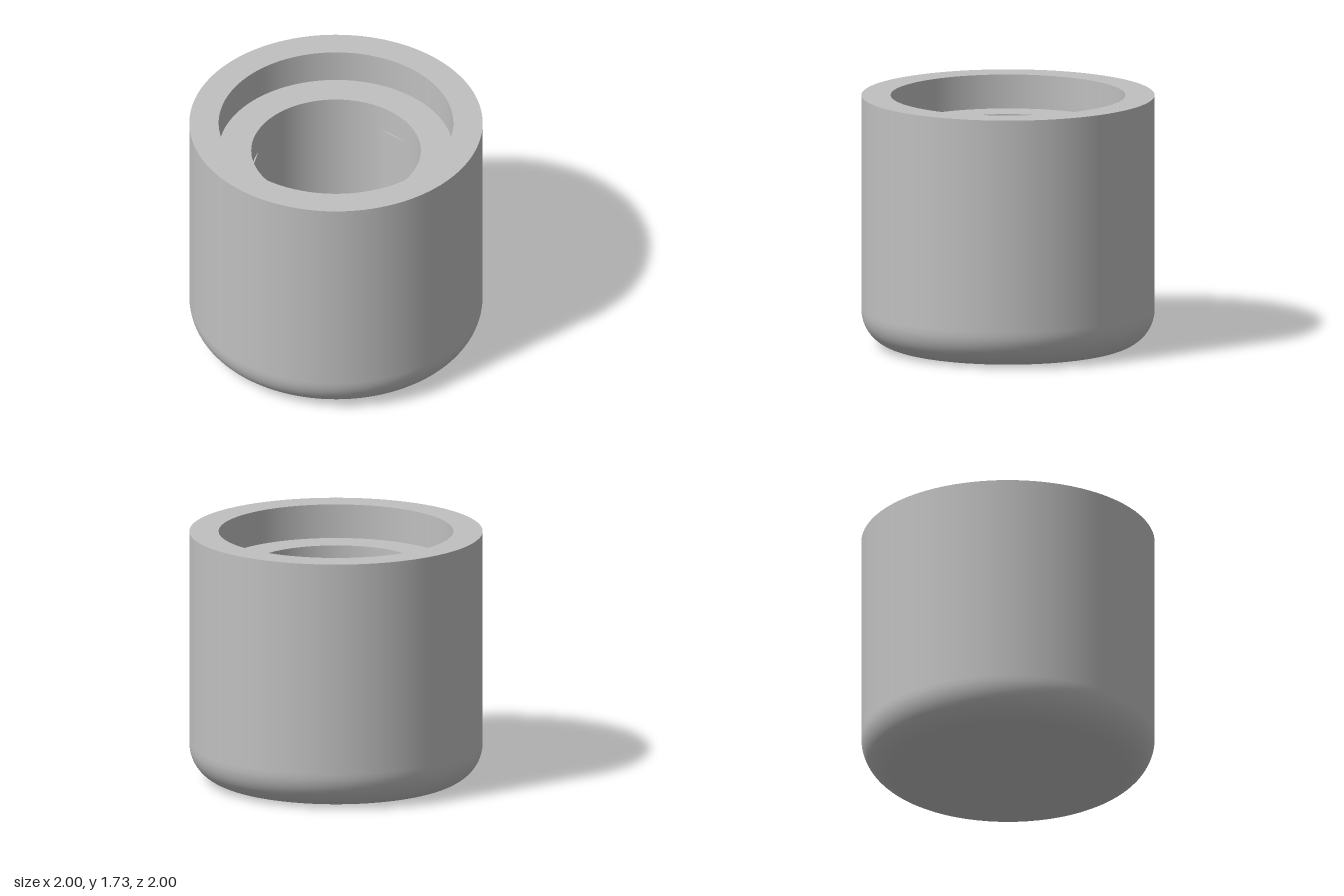
import * as THREE from 'three';

const R = 1, H = 1.73, FILLET = 0.25;          // outer body
const RECESS_R = 0.8, RECESS_Y = 1.495;        // wide recess in the top
const BORE_R = 0.578, BORE_FLOOR = 0.25;       // shaft bore
const KEY_TOP = 1.307;                         // top of the flat and ribs in the bore
const SEGMENTS = 128;

export function createModel() {
  const knob = new THREE.Group();
  knob.name = 'knob';
  const grey = new THREE.MeshStandardMaterial({ color: 0xc0c0c0 });
  grey.name = 'grey plastic';

  const add = (name, geometry) => {
    const mesh = new THREE.Mesh(geometry, grey);
    mesh.name = name;
    knob.add(mesh);
  };
  // Each turned surface is separate, so edges between them stay sharp
  const turned = (name, points) =>
    add(name, new THREE.LatheGeometry(points.map(([x, y]) => new THREE.Vector2(x, y)), SEGMENTS));
  // Upright prism from a plan outline, standing on the bore floor
  const prism = (name, shape) => {
    const geometry = new THREE.ExtrudeGeometry(shape, {
      depth: KEY_TOP - BORE_FLOOR, bevelEnabled: false, curveSegments: 32,
    });
    geometry.rotateX(-Math.PI / 2).translate(0, BORE_FLOOR, 0);
    add(name, geometry);
  };

  // Outer body with a rounded bottom edge
  const skin = [];
  for (let i = 0; i <= 16; i++) {
    const a = (i / 16) * Math.PI / 2;
    skin.push([R - FILLET + FILLET * Math.sin(a), FILLET - FILLET * Math.cos(a)]);
  }
  skin.push([R, FILLET + 0.01], [R, H]);
  turned('bottom', [[0, 0], [R - FILLET, 0]]);
  turned('outerWall', skin);

  // Rim, recess and bore, from the outside in
  turned('rim', [[R, H], [RECESS_R, H]]);
  turned('recessWall', [[RECESS_R, H], [RECESS_R, RECESS_Y]]);
  turned('recessLedge', [[RECESS_R, RECESS_Y], [BORE_R, RECESS_Y]]);
  turned('boreWall', [[BORE_R, RECESS_Y], [BORE_R, BORE_FLOOR]]);
  turned('boreFloor', [[BORE_R, BORE_FLOOR], [0, BORE_FLOOR]]);

  // Flat of the D-shaped bore, with a small ridge in the middle
  const flatZ = 0.305, ridgeZ = 0.27, ridgeX = 0.095;
  const a = Math.asin(flatZ / BORE_R);
  const flat = new THREE.Shape();
  flat.absarc(0, 0, BORE_R, Math.PI + a, 2 * Math.PI - a, false);
  flat.lineTo(ridgeX, -flatZ);
  flat.lineTo(ridgeX, -ridgeZ);
  flat.lineTo(-ridgeX, -ridgeZ);
  flat.lineTo(-ridgeX, -flatZ);
  flat.closePath();
  prism('boreFlat', flat);

  // Two shallow grip ribs opposite the flat
  for (const [name, mid] of [['leftRib', Math.PI / 6], ['rightRib', Math.PI * 5 / 6]]) {
    const rib = new THREE.Shape();
    rib.absarc(0, 0, BORE_R, mid - 0.19, mid + 0.19, false);
    rib.closePath();
    prism(name, rib);
  }
  return knob;
}
